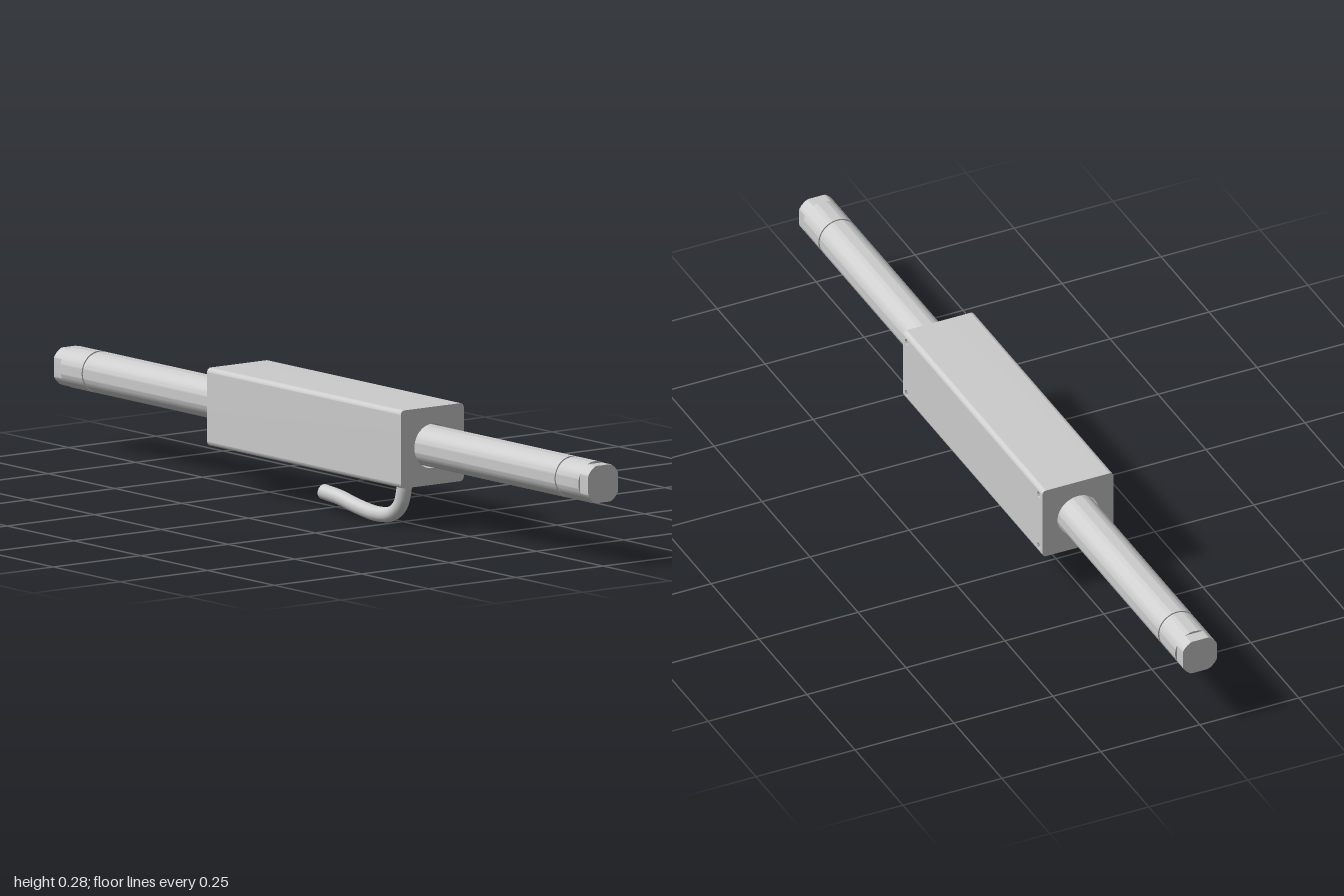
import * as THREE from 'three';
import { toCreasedNormals } from 'three/addons/utils/BufferGeometryUtils.js';

const AXIS_Y = 0.191;
const HALF = 0.09;          // half width of the housing
const LENGTH = 0.725;       // housing length
const MID_X = -0.002;       // housing centre
const ROD_R = 0.048;
const FLAT = 0.043;         // distance of the wrench flats from the axis

export function createModel() {
  const model = new THREE.Group();
  model.name = 'linearActuator';
  const material = new THREE.MeshStandardMaterial({ color: 0xcccccc });

  const add = (name, geometry, x = 0, y = 0, z = 0) => {
    const mesh = new THREE.Mesh(geometry, material);
    mesh.name = name;
    mesh.position.set(x, y, z);
    model.add(mesh);
    return mesh;
  };
  const hole = (x, y, r) => new THREE.Path().absarc(x, y, r, 0, Math.PI * 2, true);

  // Housing: rounded square section with a through bore and a recess for the back plate
  const r = 0.01, plateHalf = HALF - r, plateDepth = 0.03;
  const section = new THREE.Shape();
  section.moveTo(-HALF + r, -HALF);
  section.lineTo(HALF - r, -HALF);
  section.lineTo(HALF, -plateHalf);
  section.absarc(HALF - r, -HALF + r, r, -Math.PI / 2, 0, false);
  section.curves.splice(1, 1);
  section.lineTo(HALF - plateDepth, -plateHalf);
  section.lineTo(HALF - plateDepth, plateHalf);
  section.lineTo(HALF, plateHalf);
  section.absarc(HALF - r, HALF - r, r, 0, Math.PI / 2, false);
  section.lineTo(-HALF + r, HALF);
  section.absarc(-HALF + r, HALF - r, r, Math.PI / 2, Math.PI, false);
  section.lineTo(-HALF, -HALF + r);
  section.absarc(-HALF + r, -HALF + r, r, Math.PI, Math.PI * 1.5, false);
  section.holes.push(hole(0, 0, 0.0515));
  const housing = new THREE.ExtrudeGeometry(section, { depth: LENGTH, bevelEnabled: false, curveSegments: 24 });
  housing.translate(0, 0, -LENGTH / 2).rotateY(Math.PI / 2);
  add('housing', toCreasedNormals(housing, 0.5), MID_X, AXIS_Y);

  // Back plate with four screw holes
  const plate = new THREE.Shape();
  const hx = LENGTH / 2;
  plate.moveTo(-hx, -plateHalf);
  plate.lineTo(hx, -plateHalf);
  plate.lineTo(hx, plateHalf);
  plate.lineTo(-hx, plateHalf);
  for (const sx of [-1, 1]) for (const sy of [-1, 1]) {
    plate.holes.push(hole(sx * (hx - 0.018), sy * 0.07, 0.008));
  }
  const plateGeo = new THREE.ExtrudeGeometry(plate, { depth: plateDepth, bevelEnabled: false, curveSegments: 12 });
  add('backPlate', toCreasedNormals(plateGeo, 0.6), MID_X, AXIS_Y, -HALF);

  // Rod with a narrow groove near each end
  const step = 0.97, g0 = 0.881, g1 = 0.889, gr = 0.045;
  const half = [[0, step], [ROD_R, step], [ROD_R, g1], [gr, g1], [gr, g0], [ROD_R, g0]];
  const profile = [...half.map(([a, b]) => [a, -b]), ...half.slice().reverse()]
    .map(([a, b]) => new THREE.Vector2(a, b));
  const rod = new THREE.LatheGeometry(profile, 64).rotateZ(-Math.PI / 2);
  add('rod', toCreasedNormals(rod, 0.5), 0, AXIS_Y);

  // Rod ends: cylinders cut to four wrench flats
  for (const side of [-1, 1]) {
    const end = new THREE.CylinderGeometry(ROD_R, ROD_R, 1 - step, 64).rotateZ(Math.PI / 2);
    const p = end.attributes.position;
    for (let i = 0; i < p.count; i++) {
      p.setY(i, THREE.MathUtils.clamp(p.getY(i), -FLAT, FLAT));
      p.setZ(i, THREE.MathUtils.clamp(p.getZ(i), -FLAT, FLAT));
    }
    add(side > 0 ? 'leftRodEnd' : 'rightRodEnd', toCreasedNormals(end, 0.3), side * (1 + step) / 2, AXIS_Y);
  }

  // Cable leaving the underside and trailing towards the middle
  const path = new THREE.CatmullRomCurve3([
    [0.313, 0.115], [0.31, 0.085], [0.297, 0.05], [0.265, 0.026], [0.21, 0.0185],
    [0.14, 0.025], [0.07, 0.037], [0.01, 0.042],
  ].map(([x, y]) => new THREE.Vector3(x, y, 0.043)));
  const cableR = 0.0175;
  add('cable', new THREE.TubeGeometry(path, 60, cableR, 20));
  const cap = add('cableEnd', new THREE.CircleGeometry(cableR, 20));
  cap.position.copy(path.getPoint(1));
  cap.quaternion.setFromUnitVectors(new THREE.Vector3(0, 0, 1), path.getTangent(1));

  return model;
}
